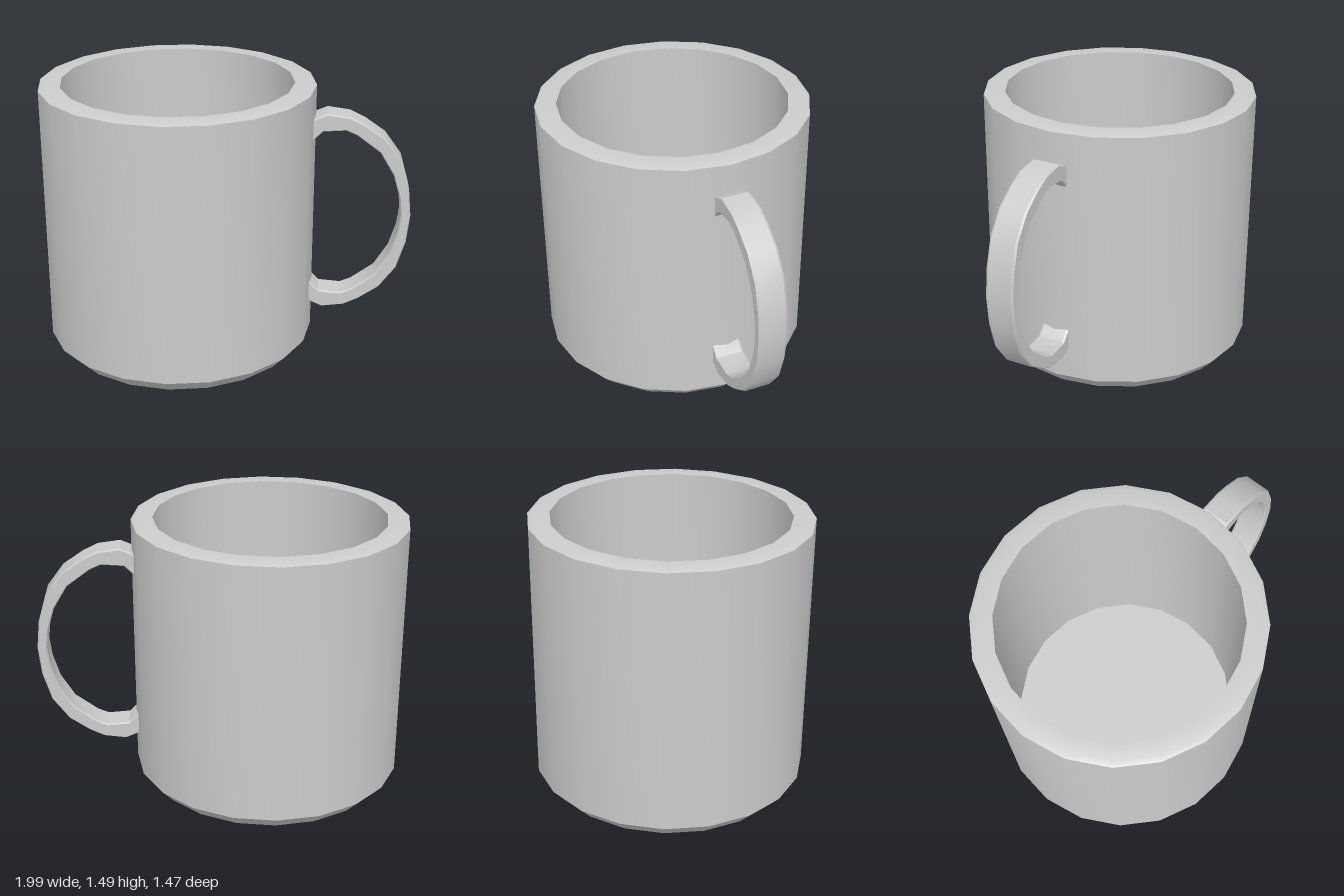
import * as THREE from 'three';
import { toCreasedNormals } from 'three/addons/utils/BufferGeometryUtils.js';

const points = (list) => list.map(([x, y]) => new THREE.Vector2(x, y));

export function createModel() {
  const mug = new THREE.Group();
  mug.name = 'mug';
  const material = new THREE.MeshStandardMaterial({ color: 0xcccccc });

  const add = (name, geometry, crease) => {
    const mesh = new THREE.Mesh(toCreasedNormals(geometry, crease), material);
    mesh.name = name;
    mug.add(mesh);
    return mesh;
  };

  // Cup: chamfered foot, straight wall, softened rim, hollow inside
  const profile = points([
    [0, 0], [0.665, 0], [0.735, 0.075], [0.735, 1.48],
    [0.71, 1.49], [0.62, 1.49], [0.62, 0.11], [0, 0.11],
  ]);
  const cup = add('cup', new THREE.LatheGeometry(profile, 20), 0.5);
  cup.position.x = -0.265;

  // Handle: upper half of the outer and inner edges, mirrored about midY
  const midY = 0.78;
  const outer = [[0.43, 1.295], [0.465, 1.315], [0.53, 1.343], [0.65, 1.327], [0.73, 1.288],
    [0.84, 1.212], [0.93, 1.09], [0.976, 0.935]];
  const inner = [[0.43, 1.17], [0.465, 1.2], [0.51, 1.245], [0.63, 1.254], [0.69, 1.228],
    [0.815, 1.135], [0.89, 1.01], [0.928, 0.885]];
  const mirror = (edge) => edge.map(([x, y]) => [x, 2 * midY - y]).reverse();
  const outline = [
    ...outer, [0.992, midY], ...mirror(outer),
    ...[...inner, [0.94, midY], ...mirror(inner)].reverse(),
  ];

  // Flat strap with a slim bevel along its edges
  const depth = 0.136, bevel = 0.01;
  const strap = new THREE.ExtrudeGeometry(new THREE.Shape(points(outline)), {
    depth, bevelEnabled: true, bevelSegments: 1,
    bevelThickness: bevel, bevelSize: 0.006, bevelOffset: -0.006,
  });
  strap.translate(0, 0, -depth / 2);
  add('handle', strap, 0.5);

  return mug;
}
